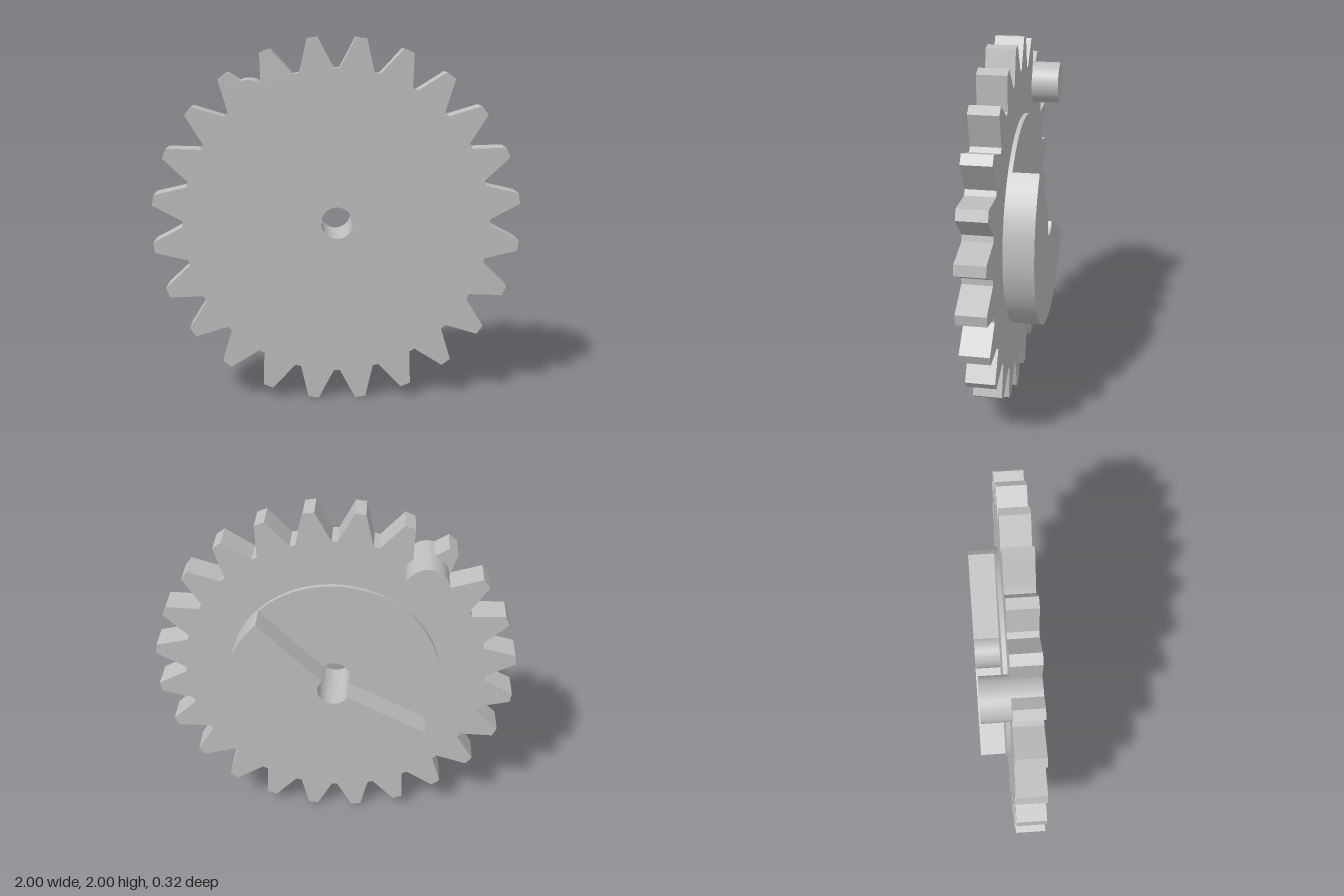
import * as THREE from 'three';
import { toCreasedNormals } from 'three/addons/utils/BufferGeometryUtils.js';

const TEETH = 24, TIP_R = 1.005, ROOT_R = 0.838;
const BORE_R = 0.087, HUB_R = 0.585;
const rad = THREE.MathUtils.degToRad;

const polar = (r, deg) => new THREE.Vector2(r * Math.cos(rad(deg)), r * Math.sin(rad(deg)));

// Extrudes a shape between two z positions, keeping curved walls smooth
function plate(shape, z0, z1) {
  const geo = new THREE.ExtrudeGeometry(shape, { depth: z1 - z0, bevelEnabled: false, curveSegments: 64 });
  geo.translate(0, 0, z0);
  return toCreasedNormals(geo, rad(12));
}

function addBore(shape) {
  shape.holes.push(new THREE.Path().absarc(0, 0, BORE_R, 0, Math.PI * 2, true));
  return shape;
}

export function createModel() {
  const model = new THREE.Group();
  const grey = new THREE.MeshStandardMaterial({ color: 0xbfbfbf });
  grey.name = 'grey';
  const add = (name, geo) => {
    const mesh = new THREE.Mesh(geo, grey);
    mesh.name = name;
    mesh.position.y = 1;
    model.add(mesh);
    return mesh;
  };

  // Toothed wheel: each tooth is a root-tip-tip-root trapezoid
  const outline = [];
  const pitch = 360 / TEETH;
  for (let i = 0; i < TEETH; i++) {
    const mid = (i + 0.5) * pitch;
    outline.push(polar(ROOT_R, mid - 6.4), polar(TIP_R, mid - 1.65),
      polar(TIP_R, mid + 1.65), polar(ROOT_R, mid + 6.4));
  }
  add('gearWheel', plate(addBore(new THREE.Shape(outline)), 0.003, 0.16));

  // Thin round step on the back
  const disc = new THREE.Shape().absarc(0, 0, HUB_R, 0, Math.PI * 2, false);
  add('backStep', plate(addBore(disc), -0.02, 0.003));

  // Raised cam sector with radial end walls
  const from = rad(-152.3), to = rad(45.7);
  const sector = new THREE.Shape();
  sector.absarc(0, 0, HUB_R, from, to, false);
  sector.absarc(0, 0, BORE_R, to, from, true);
  sector.closePath();
  add('camSector', plate(sector, -0.16, -0.02));

  // Drive pin through the rim
  const pin = new THREE.CylinderGeometry(0.115, 0.115, 0.307, 48);
  pin.rotateX(Math.PI / 2);
  add('drivePin', pin).position.set(-0.48, 1.66, 0.0063);

  return model;
}
